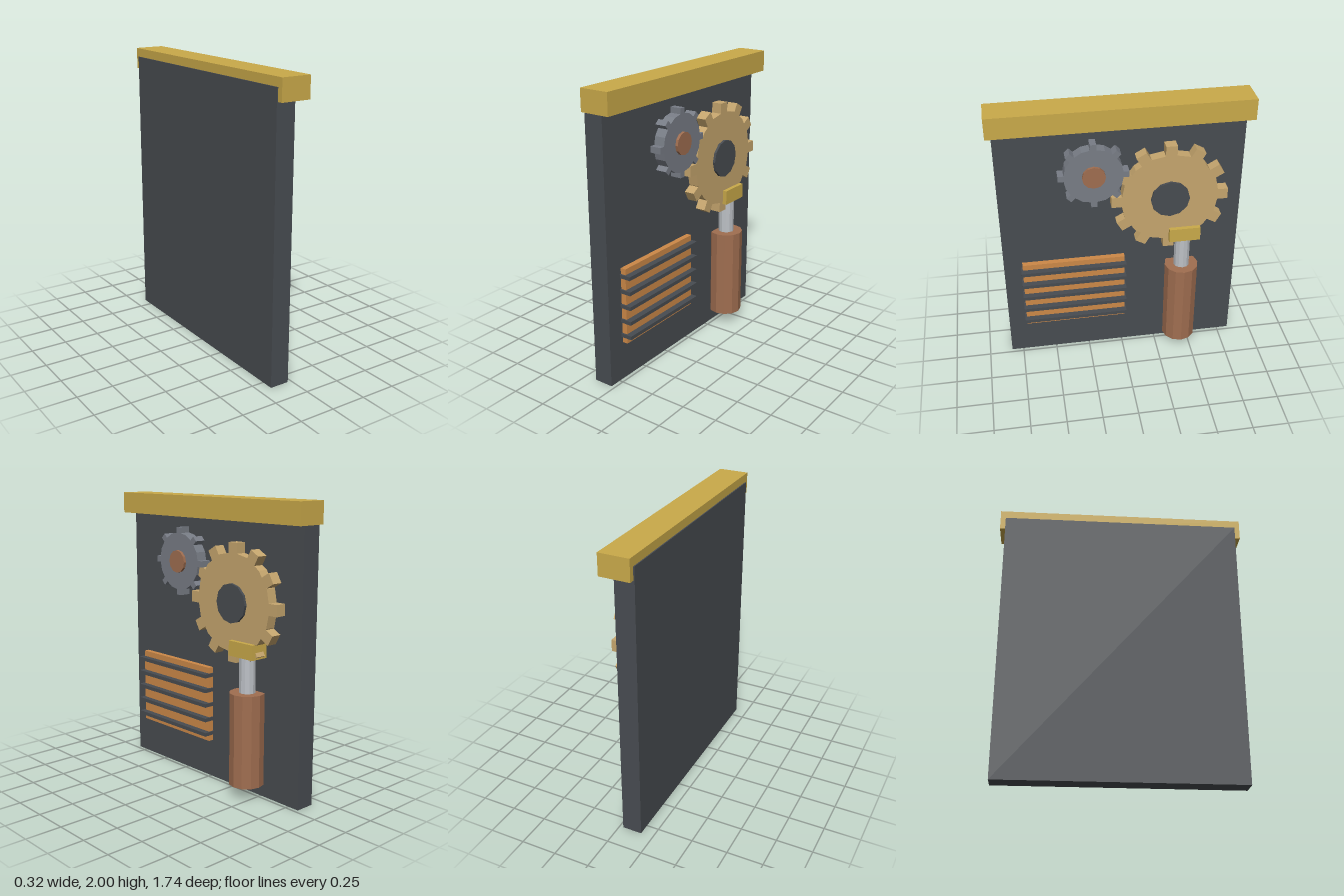
import * as THREE from 'three';

export function createModel() {
  const model = new THREE.Group();
  model.name = 'machineWallPanel';

  const paint = (name, color) => {
    const m = new THREE.MeshStandardMaterial({ color });
    m.name = name;
    m.flatShading = true;
    return m;
  };
  const iron = paint('darkIron', 0x484c51);
  const gold = paint('gold', 0xcaaa4a);
  const bronze = paint('paleBronze', 0xc6a66e);
  const steel = paint('greySteel', 0x787d86);
  const copper = paint('copper', 0xa06e50);
  const orange = paint('orangeCopper', 0xcd8948);
  const silver = paint('silver', 0xbdc1c6);

  const add = (name, geometry, material, parent = model) => {
    const mesh = new THREE.Mesh(geometry, material);
    mesh.name = name;
    parent.add(mesh);
    return mesh;
  };
  // Box given by its limits on each axis
  const box = (name, [x0, x1], [y0, y1], [z0, z1], material) =>
    add(name, new THREE.BoxGeometry(x1 - x0, y1 - y0, z1 - z0), material)
      .position.set((x0 + x1) / 2, (y0 + y1) / 2, (z0 + z1) / 2);
  // Disc whose axis runs along x
  const disc = (name, r, x0, x1, sides, material, parent) => {
    const g = new THREE.CylinderGeometry(r, r, x1 - x0, sides).rotateZ(-Math.PI / 2);
    add(name, g, material, parent).position.x = (x0 + x1) / 2;
  };
  // Upright rod
  const rod = (name, r, y0, y1, sides, material) =>
    add(name, new THREE.CylinderGeometry(r, r, y1 - y0, sides), material)
      .position.set(0.04, (y0 + y1) / 2, -0.424);

  // Backing plate and top rail
  box('backPlate', [-0.163, -0.027], [0, 1.94], [-0.835, 0.835], iron);
  box('topRail', [-0.155, 0.055], [1.853, 2], [-0.872, 0.872], gold);

  // Gears: a disc, a ring of block teeth and a hub
  const gear = (name, y, z, o) => {
    const g = new THREE.Group();
    g.name = name;
    g.position.set(0, y, z);
    model.add(g);
    disc('gearDisc', o.radius, o.x[0], o.x[1], o.sides, o.material, g);
    const inner = o.radius * 0.9;
    const tooth = new THREE.BoxGeometry(o.x[1] - o.x[0], o.outer - inner, o.toothWidth);
    tooth.translate((o.x[0] + o.x[1]) / 2, (o.outer + inner) / 2, 0);
    for (let i = 0; i < o.teeth; i++) {
      add('gearTooth', tooth, o.material, g).rotation.x = (i / o.teeth) * Math.PI * 2;
    }
    disc('gearHub', o.hub, o.hubX[0], o.hubX[1], 12, o.hubMaterial, g);
  };
  gear('largeGear', 1.32, -0.316, {
    radius: 0.335, outer: 0.398, teeth: 12, toothWidth: 0.077, sides: 16,
    x: [0.004, 0.078], material: bronze, hub: 0.133, hubX: [-0.013, 0.096], hubMaterial: iron,
  });
  gear('smallGear', 1.55, 0.2, {
    radius: 0.2, outer: 0.235, teeth: 8, toothWidth: 0.042, sides: 16,
    x: [0.018, 0.097], material: steel, hub: 0.078, hubX: [-0.005, 0.116], hubMaterial: copper,
  });

  // Piston
  rod('pistonCylinder', 0.12, 0.088, 0.73, 12, copper);
  rod('pistonRod', 0.056, 0.7, 1.0, 12, silver);
  box('pistonHead', [-0.027, 0.108], [0.973, 1.075], [-0.533, -0.316], gold);

  // Vent with slats
  box('ventPanel', [-0.05, 0.012], [0.275, 0.814], [-0.018, 0.706], orange);
  for (let i = 0; i < 5; i++) {
    const y = 0.332 + i * 0.107;
    box('ventSlat', [-0.027, 0.055], [y - 0.013, y + 0.013], [-0.027, 0.717], iron);
  }

  return model;
}
